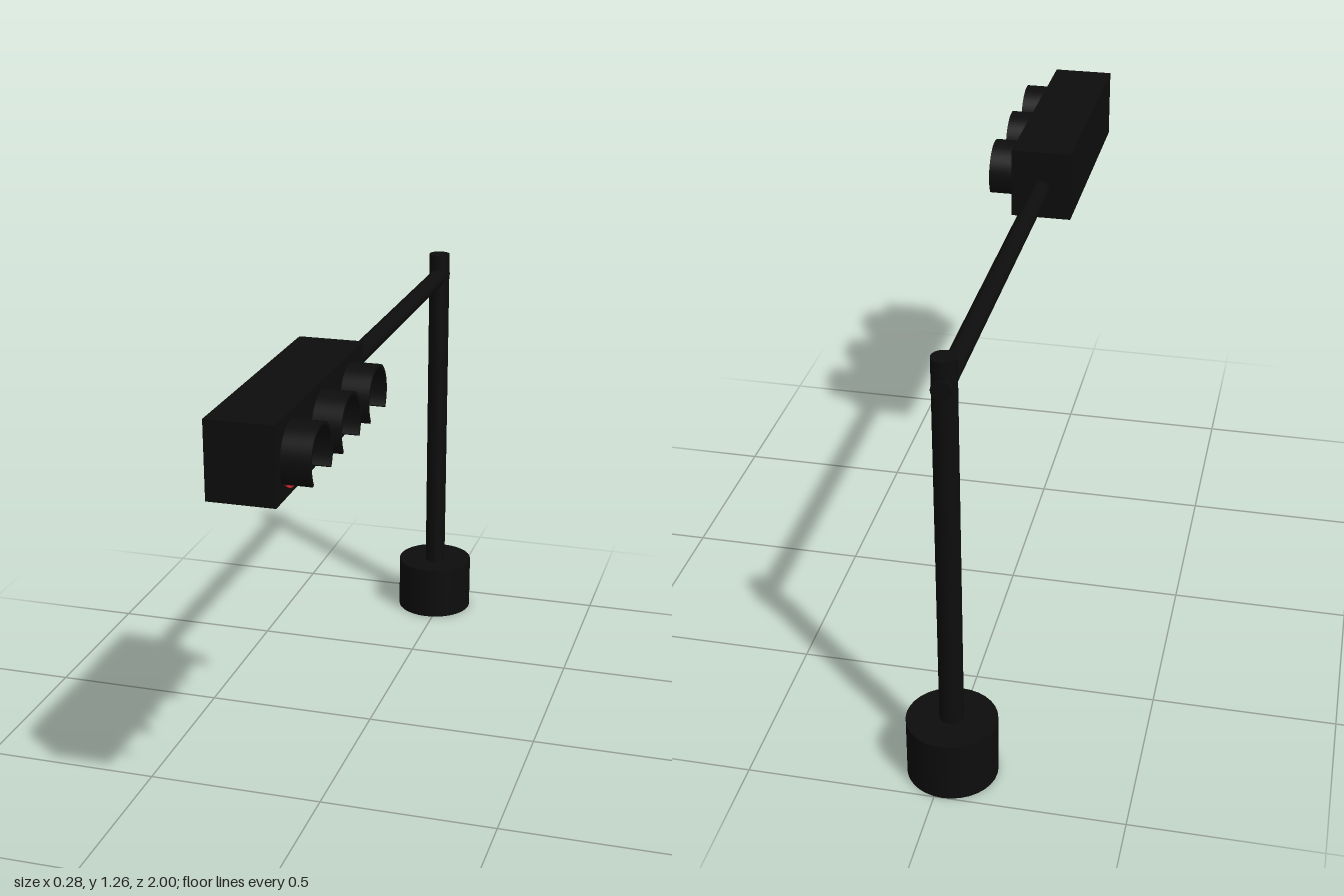
import * as THREE from 'three';

const paint = (color) => new THREE.MeshStandardMaterial({ color });

export function createModel() {
  const model = new THREE.Group();
  const black = paint(0x0d0d0d);

  const add = (name, geometry, material, x, y, z, parent = model) => {
    const mesh = new THREE.Mesh(geometry, material);
    mesh.name = name;
    mesh.position.set(x, y, z);
    parent.add(mesh);
    return mesh;
  };

  // Round foot, upright pole and horizontal arm
  add('base', new THREE.CylinderGeometry(0.12, 0.12, 0.168, 32), black, -0.022, 0.084, -0.88);
  add('pole', new THREE.CylinderGeometry(0.032, 0.032, 1.075, 32), black, -0.02, 0.6875, -0.875);
  const arm = add('arm', new THREE.CylinderGeometry(0.026, 0.026, 1.23, 32), black, -0.02, 1.153, -0.296);
  arm.rotation.x = Math.PI / 2;

  // Signal box at the end of the arm
  add('housing', new THREE.BoxGeometry(0.173, 0.2, 0.706), black, -0.021, 1.165, 0.647);

  // Visor: a thin ring, open at the bottom, extruded outwards along +x
  const start = -0.6, end = Math.PI + 0.6;
  const ring = new THREE.Shape();
  ring.absarc(0, 0, 0.085, start, end, false);
  ring.absarc(0, 0, 0.077, end, start, true);
  const visorGeometry = new THREE.ExtrudeGeometry(ring, { depth: 0.077, bevelEnabled: false, curveSegments: 32 });
  visorGeometry.rotateY(Math.PI / 2);

  const lensGeometry = new THREE.CylinderGeometry(0.077, 0.077, 0.008, 40);
  lensGeometry.rotateZ(-Math.PI / 2);

  // Three lamps, each a coloured lens under its visor
  const lamps = [['red', 0xcc2a2e, 0.886], ['green', 0x4acc4a, 0.651], ['amber', 0xc8932c, 0.415]];
  for (const [label, color, z] of lamps) {
    const lamp = new THREE.Group();
    lamp.name = `${label}Lamp`;
    lamp.position.set(0.063, 1.157, z);
    add(`${label}Lens`, lensGeometry, paint(color), 0.003, 0, 0, lamp);
    add(`${label}Visor`, visorGeometry, black, 0, 0, 0, lamp);
    model.add(lamp);
  }
  return model;
}
